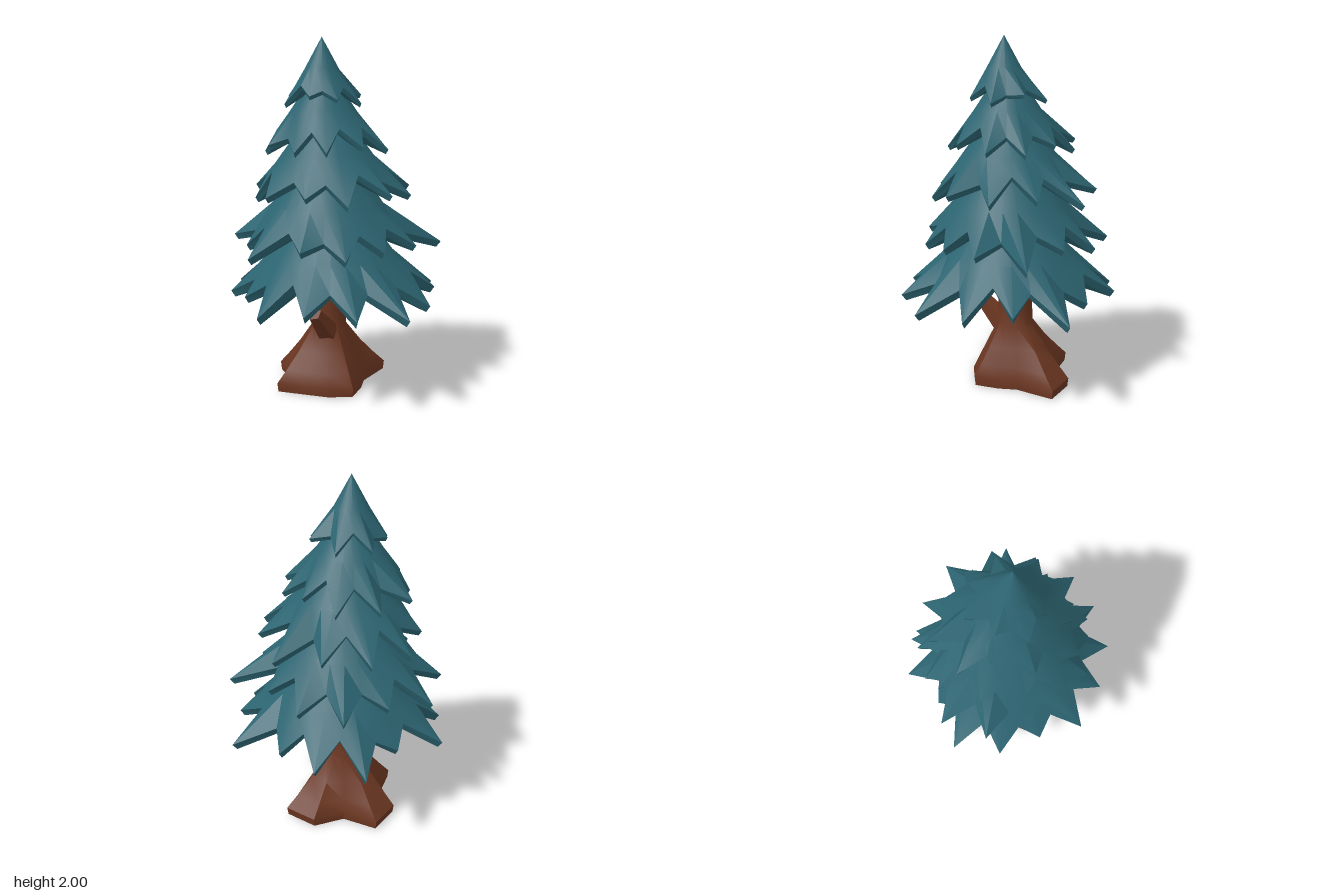
import * as THREE from 'three';
import { toCreasedNormals } from 'three/addons/utils/BufferGeometryUtils.js';

const needleTeal = new THREE.MeshStandardMaterial({ color: 0x2c6471 });
const barkBrown = new THREE.MeshStandardMaterial({ color: 0x6b3621, side: THREE.DoubleSide });

// Skin a stack of equal-length rings, listed from the top down
function loft(rings, crease) {
  const n = rings[0].length, index = [];
  for (let r = 0; r < rings.length - 1; r++) {
    for (let i = 0; i < n; i++) {
      const j = (i + 1) % n, a = r * n, b = a + n;
      index.push(a + i, a + j, b + i, a + j, b + j, b + i);
    }
  }
  const geo = new THREE.BufferGeometry();
  geo.setAttribute('position', new THREE.Float32BufferAttribute(rings.flat(2), 3));
  geo.setIndex(index);
  return toCreasedNormals(geo, crease);
}

// One jagged skirt: top and notch are [radius, y]; reach holds the tip radii, evenly spaced from phase
function tierGeometry({ centre: [cx, cz], top, notch, tipY, phase, reach }, k) {
  const step = Math.PI / reach.length;
  const start = THREE.MathUtils.degToRad(phase);
  const jag = [];
  reach.forEach((r, i) => {
    const a = start + 2 * i * step;
    jag.push({ a, r, y: tipY + 0.025 * Math.sin(i * 2.4 + k), inset: 0.96 });
    jag.push({ a: a + step, r: notch[0], y: notch[1] + 0.03 * Math.sin(i * 1.9 + k), inset: 0.9 });
  });
  const ring = (f) => jag.map((p) => {
    const [r, y] = f(p);
    return [cx + r * Math.cos(p.a), y, cz + r * Math.sin(p.a)];
  });
  const mid = top.map((v, i) => THREE.MathUtils.lerp(v, notch[i], 0.6));
  const edge = 0.02 + 0.004 * k;
  return loft([
    ring(() => top),
    ring(() => mid),
    ring((p) => [p.r, p.y]),
    ring((p) => [p.r * p.inset, p.y - edge]), // thick rim
    ring(() => [0.03, notch[1] + 0.02]), // hollow underside
  ], 0.5);
}

// Trunk: spreading roots that gather into a round stem, open underneath
function trunkGeometry() {
  const roots = [0.28, 0.25, 0.25, 0.34, 0.23, 0.35, 0.38, 0.24, 0.35, 0.39, 0.21, 0.22];
  // y, stem radius, share of root outline
  const levels = [[0.72, 0.07, 0], [0.58, 0.095, 0], [0.46, 0.1, 0], [0.35, 0.095, 0.06], [0.22, 0.12, 0.36],
    [0.12, 0.14, 0.7], [0.05, 0.14, 1], [0, 0.14, 0.97]];
  return loft(levels.map(([y, stem, share]) => roots.map((root, i) => {
    const a = (i + 0.5) * Math.PI / 6, r = THREE.MathUtils.lerp(stem, root, share);
    return [-0.06 + r * Math.cos(a), y, r * Math.sin(a)];
  })), 0.7);
}

export function createModel() {
  const tree = new THREE.Group();
  tree.name = 'pineTree';
  const add = (name, geo, mat) => {
    const mesh = new THREE.Mesh(geo, mat);
    mesh.name = name;
    tree.add(mesh);
    return mesh;
  };

  // Foliage from the crown down
  [
    { centre: [-0.04, 0.07], top: [0, 2], notch: [0.16, 1.71], tipY: 1.665, phase: 20,
      reach: [0.21, 0.18, 0.22, 0.2, 0.25, 0.25, 0.24, 0.23] },
    { centre: [-0.05, 0.05], top: [0.08, 1.76], notch: [0.26, 1.49], tipY: 1.4, phase: 8,
      reach: [0.36, 0.34, 0.31, 0.33, 0.33, 0.4, 0.43, 0.38, 0.35, 0.37, 0.38] },
    { centre: [-0.04, 0.03], top: [0.14, 1.52], notch: [0.34, 1.25], tipY: 1.15, phase: 0,
      reach: [0.49, 0.45, 0.41, 0.45, 0.41, 0.43, 0.49, 0.5, 0.5, 0.54, 0.49, 0.48] },
    { centre: [-0.04, 0.03], top: [0.2, 1.26], notch: [0.4, 0.96], tipY: 0.87, phase: 5,
      reach: [0.48, 0.49, 0.49, 0.59, 0.47, 0.55, 0.58, 0.51, 0.57, 0.53, 0.5, 0.66, 0.53] },
    { centre: [-0.02, 0.01], top: [0.22, 0.98], notch: [0.45, 0.68], tipY: 0.57, phase: 7,
      reach: [0.66, 0.63, 0.59, 0.61, 0.53, 0.59, 0.64, 0.51, 0.63, 0.61, 0.53, 0.67, 0.59, 0.6] },
  ].forEach((tier, k) => add('foliageTier' + (k + 1), tierGeometry(tier, k), needleTeal));

  add('trunk', trunkGeometry(), barkBrown);

  // Broken branch leaning forward out of the trunk
  const from = new THREE.Vector3(-0.02, 0.32, 0.04), to = new THREE.Vector3(0.03, 0.48, 0.2);
  const dir = to.clone().sub(from);
  const stubGeo = toCreasedNormals(new THREE.CylinderGeometry(0.042, 0.075, dir.length(), 5), 0.5);
  const stub = add('branchStub', stubGeo, barkBrown);
  stub.position.copy(from).add(to).multiplyScalar(0.5);
  stub.quaternion.setFromUnitVectors(new THREE.Vector3(0, 1, 0), dir.normalize());
  return tree;
}
